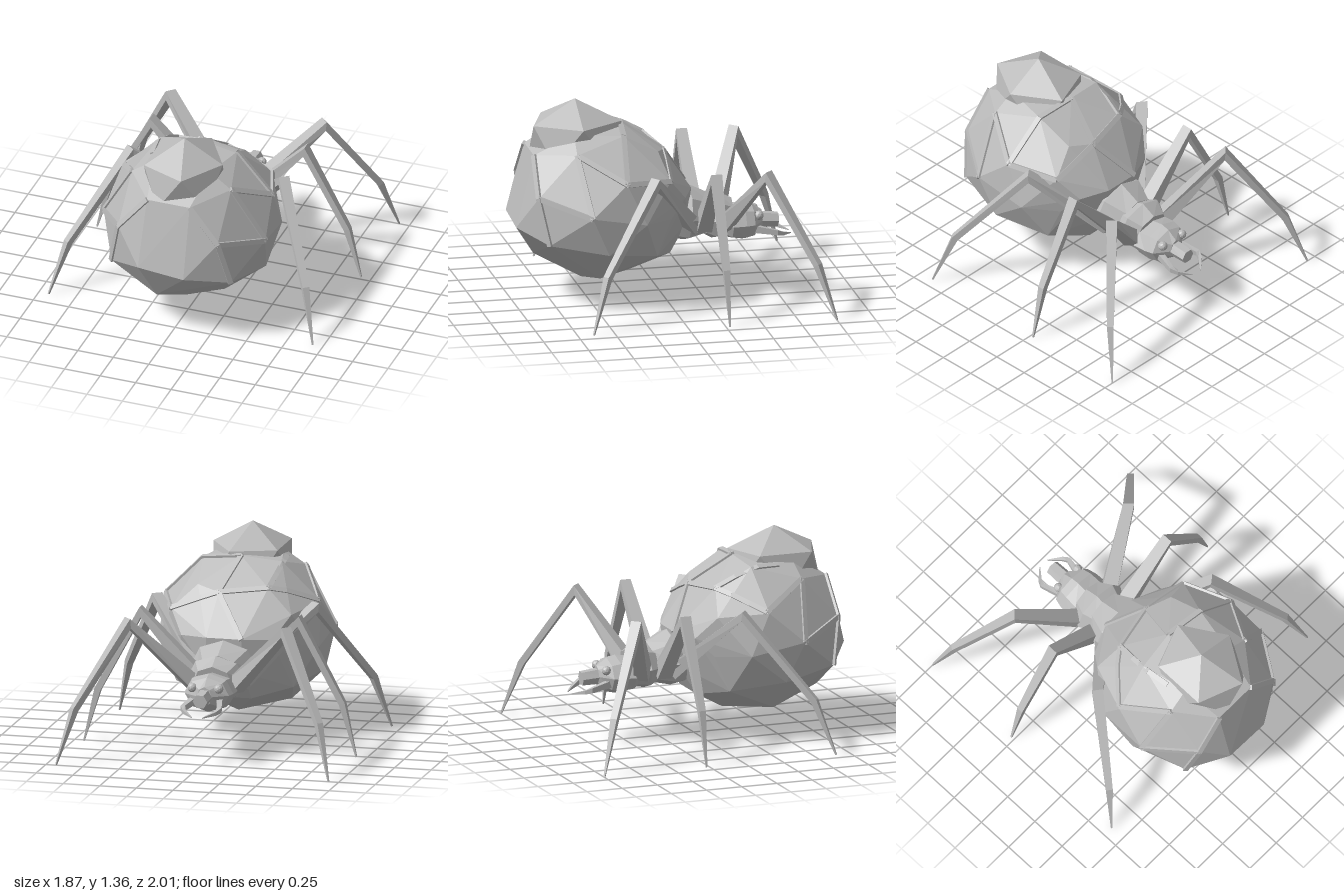
import * as THREE from 'three';
import { ConvexGeometry } from 'three/addons/geometries/ConvexGeometry.js';

const V = (x, y, z) => new THREE.Vector3(x, y, z);

// Faceted skin through oval rings [point, halfWidth, halfHeight]; side is the width axis.
function loft(rings, side, sides = 8, phase = 0) {
  const pts = rings.map(r => r[0]);
  const verts = rings.map(([p, rw, rh], i) => {
    const a = i > 0 ? p.clone().sub(pts[i - 1]).normalize() : null;
    const b = i < pts.length - 1 ? pts[i + 1].clone().sub(p).normalize() : null;
    const t = V(0, 0, 0);
    if (a) t.add(a);
    if (b) t.add(b);
    t.normalize();
    const up = t.clone().cross(side).normalize();
    const mitre = a ? Math.min(1.6, 1 / Math.max(0.1, a.dot(t))) : 1;
    return Array.from({ length: sides }, (_, j) => {
      const g = phase + j / sides * Math.PI * 2;
      return p.clone().addScaledVector(side, rw * Math.cos(g))
        .addScaledVector(up, rh * mitre * Math.sin(g));
    });
  });
  const out = [];
  const tri = (...c) => c.forEach(v => out.push(v.x, v.y, v.z));
  const last = rings.length - 1;
  for (let j = 0; j < sides; j++) {
    const k = (j + 1) % sides;
    for (let i = 0; i < last; i++) {
      tri(verts[i][j], verts[i][k], verts[i + 1][k]);
      tri(verts[i][j], verts[i + 1][k], verts[i + 1][j]);
    }
    tri(pts[0], verts[0][k], verts[0][j]);
    tri(pts[last], verts[last][j], verts[last][k]);
  }
  const geo = new THREE.BufferGeometry();
  geo.setAttribute('position', new THREE.Float32BufferAttribute(out, 3));
  geo.computeVertexNormals();
  return geo;
}

export function createModel() {
  const model = new THREE.Group();
  const shell = new THREE.MeshStandardMaterial({ color: 0xbbbbbb, flatShading: true });
  shell.name = 'grey shell';
  const add = (name, geo, parent = model) => {
    const mesh = new THREE.Mesh(geo, shell);
    mesh.name = name;
    parent.add(mesh);
    return mesh;
  };

  // Abdomen: faceted hull from mirrored corner points, with an uneven underside
  const half = [
    [.42, .48, .83], [.53, .42, .45], [.57, .69, .57], [.35, .79, .89], [.55, .62, .2],
    [.4, .36, .1], [.15, .3, -.04], [.13, .5, -.16], [.38, .6, 0], [.12, .73, -.19],
    [.31, .72, -.11], [.41, .87, .01], [.53, .9, .33], [.35, 1.07, .63], [.15, 1.03, .88],
    [.24, 1.03, .06], [.27, 1.16, .3], [.2, 1.17, .62],
  ];
  const corners = [
    [0, .13, .53], [0, .16, .2], [.24, .18, .45], [-.3, .2, .45], [-.1, .28, .83],
    [-.17, .57, 1], [.15, .54, 1], [0, 1.19, .27], [.08, 1, -.01],
  ].map(c => V(...c));
  for (const [x, y, z] of half) corners.push(V(x, y, z), V(-x, y, z));
  const hull = new ConvexGeometry(corners);
  add('abdomen', hull);

  // Face planes of the hull, used to lay the plate seams on its surface
  const centre = V(0, .66, .4);
  const pos = hull.getAttribute('position');
  const planes = [];
  for (let i = 0; i < pos.count; i += 3) {
    const [a, b, c] = [0, 1, 2].map(k => V(0, 0, 0).fromBufferAttribute(pos, i + k));
    planes.push(new THREE.Plane().setFromCoplanarPoints(a, b, c));
  }
  const onHull = p => {
    const d = p.clone().sub(centre);
    let s = Infinity;
    for (const pl of planes) {
      const nd = pl.normal.dot(d);
      if (nd > 1e-4) s = Math.min(s, -pl.distanceToPoint(centre) / nd);
    }
    return centre.clone().addScaledVector(d, s);
  };

  // Raised seams between the shell plates
  const seams = new THREE.Group();
  seams.name = 'plateSeams';
  model.add(seams);
  const seam = path => {
    for (let i = 0; i < path.length - 1; i++) {
      const a = V(...path[i]), b = V(...path[i + 1]);
      for (let k = 0; k < 3; k++) {
        const p = onHull(a.clone().lerp(b, k / 3)), q = onHull(a.clone().lerp(b, (k + 1) / 3));
        const dir = q.clone().sub(p);
        const mid = p.clone().add(q).multiplyScalar(.5);
        const len = dir.length();
        dir.normalize();
        const side = mid.clone().sub(centre).cross(dir).normalize();
        const up = dir.clone().cross(side);
        const geo = new THREE.BoxGeometry(.034, .022, len + .004);
        geo.applyMatrix4(new THREE.Matrix4().makeBasis(side, up, dir).setPosition(mid));
        add('plateSeam', geo, seams);
      }
    }
  };
  for (const s of [1, -1]) {
    const m = path => seam(path.map(([x, y, z]) => [x * s, y, z]));
    m([[.15, 1.03, .88], [.35, .79, .89], [.42, .48, .83]]);
    m([[.35, .79, .89], [.57, .69, .57], [.35, 1.07, .63]]);
  }
  seam([[.35, 1.07, .63], [.53, .9, .33], [.41, .87, .01]]);
  seam([[0, 1.19, .27], [.27, 1.16, .3], [.53, .9, .33]]);
  seam([[0, 1.19, .27], [.08, 1, -.01], [.41, .87, .01]]);
  seam([[-.12, .73, -.19], [.08, 1, -.01], [-.24, 1.03, .06], [-.25, 1.15, .5]]);
  seam([[-.24, 1.03, .06], [-.5, .9, .32], [-.35, 1.07, .63]]);

  // Faceted knob on top of the abdomen
  const knob = new THREE.IcosahedronGeometry(1, 0);
  knob.rotateX(-Math.atan2((1 + Math.sqrt(5)) / 2, 1));
  knob.rotateY(Math.PI / 2);
  knob.scale(.3, .27, .35);
  knob.translate(0, 1.09, .57);
  add('topKnob', knob);

  // Thorax, head and snout along the body axis, rows of [z, y, halfWidth, halfHeight]
  const X = V(1, 0, 0);
  const body = (name, rows, sides, phase) =>
    add(name, loft(rows.map(([z, y, w, h]) => [V(0, y, z), w, h]), X, sides, phase));
  body('rearThorax', [[-.06, .53, .17, .17], [-.18, .53, .23, .19], [-.32, .51, .15, .14]]);
  body('frontThorax', [[-.3, .5, .16, .13], [-.37, .5, .2, .16], [-.46, .48, .14, .13]]);
  body('head', [[-.42, .45, .11, .09], [-.47, .45, .17, .115], [-.56, .45, .165, .13],
    [-.62, .45, .15, .115], [-.69, .45, .05, .065]]);
  body('snout', [[-.62, .45, .055, .06], [-.8, .44, .05, .05]], 6);

  for (const s of [1, -1]) {
    const sideName = s > 0 ? 'left' : 'right';
    // Eye
    const eye = new THREE.IcosahedronGeometry(.032, 1);
    eye.translate(.09 * s, .5, -.655);
    add(sideName + 'Eye', eye);
    // Curved jaw
    add(sideName + 'Jaw', loft([
      [V(.085 * s, .41, -.62), .035, .03], [V(.125 * s, .385, -.77), .024, .02],
      [V(.105 * s, .37, -.81), .018, .016], [V(.035 * s, .35, -.88), .004, .004],
    ], V(0, 1, 0), 4, Math.PI / 4));
    // Legs: hip, knee, ankle and foot depths
    const legs = { front: [-.41, -.62, -.89, -1], middle: [-.27, -.27, -.272, -.275],
      rear: [-.2, .14, .53, .645] };
    for (const [name, z] of Object.entries(legs)) {
      const hip = V(.13 * s, .46, z[0]), knee = V(.54 * s, .905, z[1]);
      const ankle = V(.835 * s, .36, z[2]), foot = V(.93 * s, .003, z[3]);
      const side = V(knee.z - foot.z, 0, foot.x - knee.x).normalize();
      add(`${sideName}${name[0].toUpperCase()}${name.slice(1)}Leg`, loft([
        [hip, .072, .07], [knee, .052, .03], [ankle, .032, .03], [foot, .007, .007],
      ], side, 4, Math.PI / 4));
    }
  }
  return model;
}
